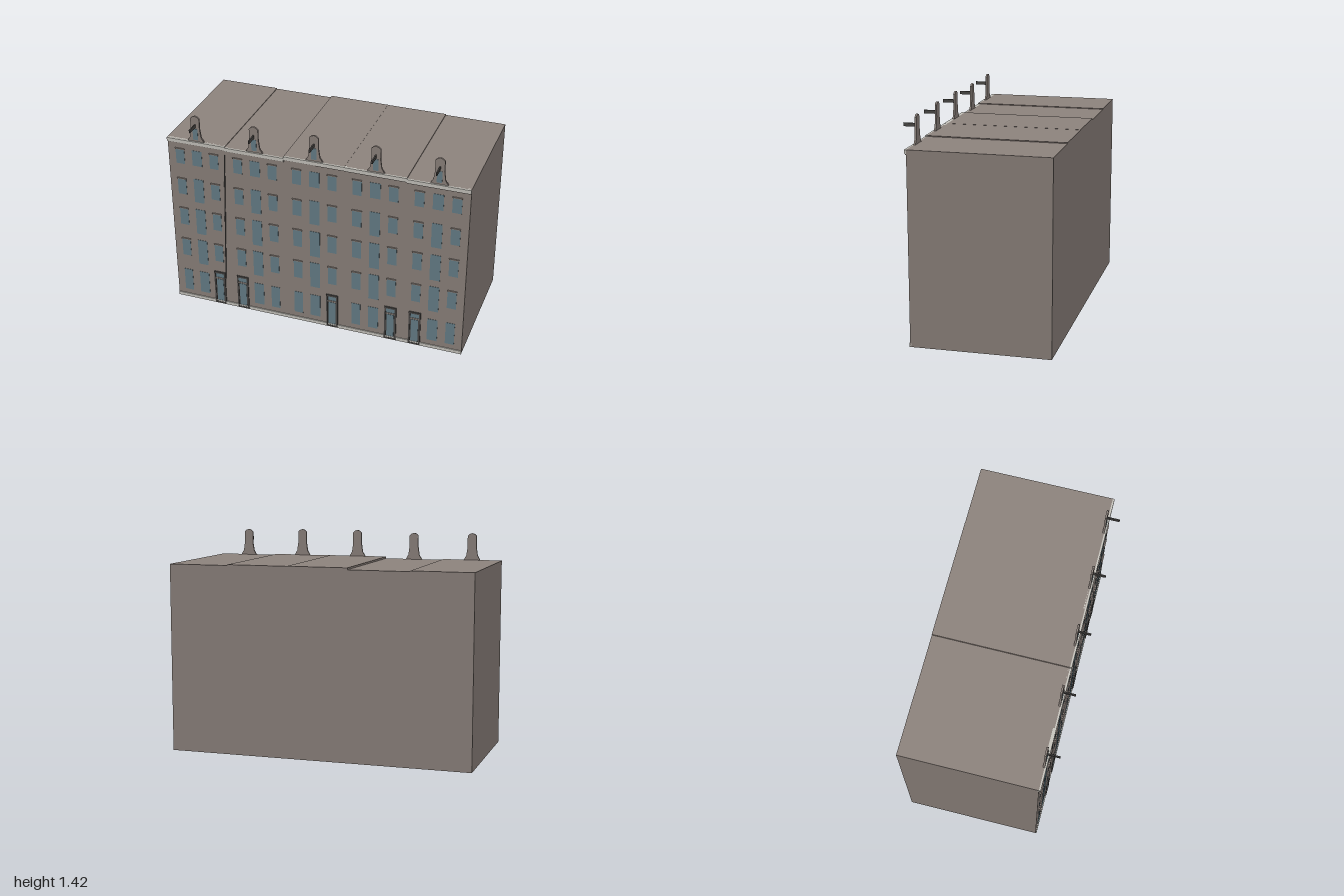
import * as THREE from 'three';

const mat = (name, color) => new THREE.MeshStandardMaterial({ name, color });

export function createModel() {
  const wall = mat('wall', 0x8c827c);
  const glass = mat('glass', 0x667e88);
  const trim = mat('trim', 0xc6c4bd);
  const dark = mat('darkFrame', 0x4a4846);
  const model = new THREE.Group();
  model.name = 'rowOfHouses';

  const FRONT = 0.402, BACK = -0.483;

  // box given by its limits
  function box(parent, name, m, x0, x1, y0, y1, z0, z1) {
    const mesh = new THREE.Mesh(new THREE.BoxGeometry(x1 - x0, y1 - y0, z1 - z0), m);
    mesh.position.set((x0 + x1) / 2, (y0 + y1) / 2, (z0 + z1) / 2);
    mesh.name = name;
    parent.add(mesh);
    return mesh;
  }

  // window rows: side panes and taller middle panes
  const sideRows = [[0.06, 0.225], [0.34, 0.47], [0.585, 0.71], [0.82, 0.935], [1.05, 1.155]];
  const midRows = [[0.06, 0.225], [0.29, 0.48], [0.53, 0.72], [0.775, 0.95], [1.05, 1.16]];

  // gable outline: flared foot, narrow neck, pointed top, with a beam hole
  const gableShape = new THREE.Shape([
    [-0.058, 0], [0.058, 0], [0.038, 0.035], [0.03, 0.09], [0.03, 0.165],
    [0.016, 0.178], [0, 0.183], [-0.016, 0.178], [-0.03, 0.165], [-0.03, 0.09], [-0.038, 0.035],
  ].map(([x, y]) => new THREE.Vector2(x, y)));
  const gableGeo = new THREE.ExtrudeGeometry(gableShape, { depth: 0.012, bevelEnabled: false });

  // door: dark surround, glazed leaf and transom
  function addDoor(house, x) {
    const door = new THREE.Group();
    door.name = 'door';
    house.add(door);
    for (const s of [-1, 1]) {
      const c = x + s * 0.035;
      box(door, 'doorPost', dark, c - 0.005, c + 0.005, 0.008, 0.255, FRONT - 0.005, FRONT + 0.007);
    }
    box(door, 'doorHead', dark, x - 0.04, x + 0.04, 0.243, 0.256, FRONT - 0.005, FRONT + 0.008);
    box(door, 'doorCrossbar', wall, x - 0.032, x + 0.032, 0.2, 0.21, FRONT - 0.005, FRONT + 0.006);
    box(door, 'doorSill', dark, x - 0.04, x + 0.04, 0.004, 0.014, FRONT - 0.005, FRONT + 0.008);
    box(door, 'doorLeaf', glass, x - 0.024, x + 0.024, 0.014, 0.196, FRONT - 0.003, FRONT + 0.004);
    box(door, 'doorReveal', dark, x - 0.031, x + 0.031, 0.014, 0.2, FRONT - 0.003, FRONT + 0.002);
    box(door, 'transom', glass, x - 0.03, x + 0.03, 0.21, 0.243, FRONT - 0.003, FRONT + 0.003);
  }

  // five houses, each with its own roof height and door side
  const houses = [
    { x: -0.8, h: 1.231, door: 0.115 },
    { x: -0.4, h: 1.226, door: -0.118 },
    { x: 0, h: 1.238, door: 0.118 },
    { x: 0.4, h: 1.237, door: 0.118 },
    { x: 0.8, h: 1.231, door: -0.118 },
  ];

  houses.forEach(({ x, h, door }) => {
    const house = new THREE.Group();
    house.name = 'house';
    model.add(house);
    box(house, 'houseBody', wall, x - 0.2, x + 0.2, 0, h, BACK, FRONT);
    box(house, 'plinth', trim, x - 0.2, x + 0.2, 0, 0.024, FRONT - 0.01, FRONT + 0.006);
    box(house, 'cornice', trim, x - 0.2, x + 0.2, h - 0.024, h, FRONT - 0.01, FRONT + 0.012);
    box(house, 'corniceLip', wall, x - 0.2, x + 0.2, h - 0.03, h - 0.024, FRONT - 0.01, FRONT + 0.007);

    for (let row = 0; row < 5; row++) {
      for (const off of [-0.118, 0, 0.118]) {
        if (row === 0 && Math.sign(off) === Math.sign(door)) continue;
        const [y0, y1] = off === 0 ? midRows[row] : sideRows[row];
        const w = off === 0 ? 0.034 : 0.03;
        const c = x + off;
        box(house, 'window', glass, c - w, c + w, y0, y1, FRONT - 0.002, FRONT + 0.002);
        // thin lintel above the side windows of the upper floors
        if (off !== 0 && row > 0) {
          box(house, 'lintel', wall, c - w - 0.002, c + w + 0.002, y1, y1 + 0.007, FRONT - 0.002, FRONT + 0.008);
        }
      }
    }
    addDoor(house, x + door);

    // hoisting gable with hatch and beam
    const gable = new THREE.Mesh(gableGeo, wall);
    gable.name = 'gable';
    gable.position.set(x, h - 0.004, 0.391);
    house.add(gable);
    box(house, 'gableHatch', glass, x - 0.017, x + 0.017, h + 0.012, h + 0.09, 0.4, 0.405);
    box(house, 'hoistBeam', dark, x - 0.004, x + 0.004, h + 0.1, h + 0.122, 0.4, 0.483);
  });

  // slanting drainpipe between the first two houses
  const from = new THREE.Vector3(-0.642, 0.21, FRONT);
  const to = new THREE.Vector3(-0.606, 1.17, FRONT);
  const pipe = new THREE.Mesh(new THREE.CylinderGeometry(0.004, 0.004, from.distanceTo(to), 8), dark);
  pipe.name = 'drainpipe';
  pipe.position.lerpVectors(from, to, 0.5);
  pipe.quaternion.setFromUnitVectors(new THREE.Vector3(0, 1, 0), to.clone().sub(from).normalize());
  model.add(pipe);

  return model;
}
